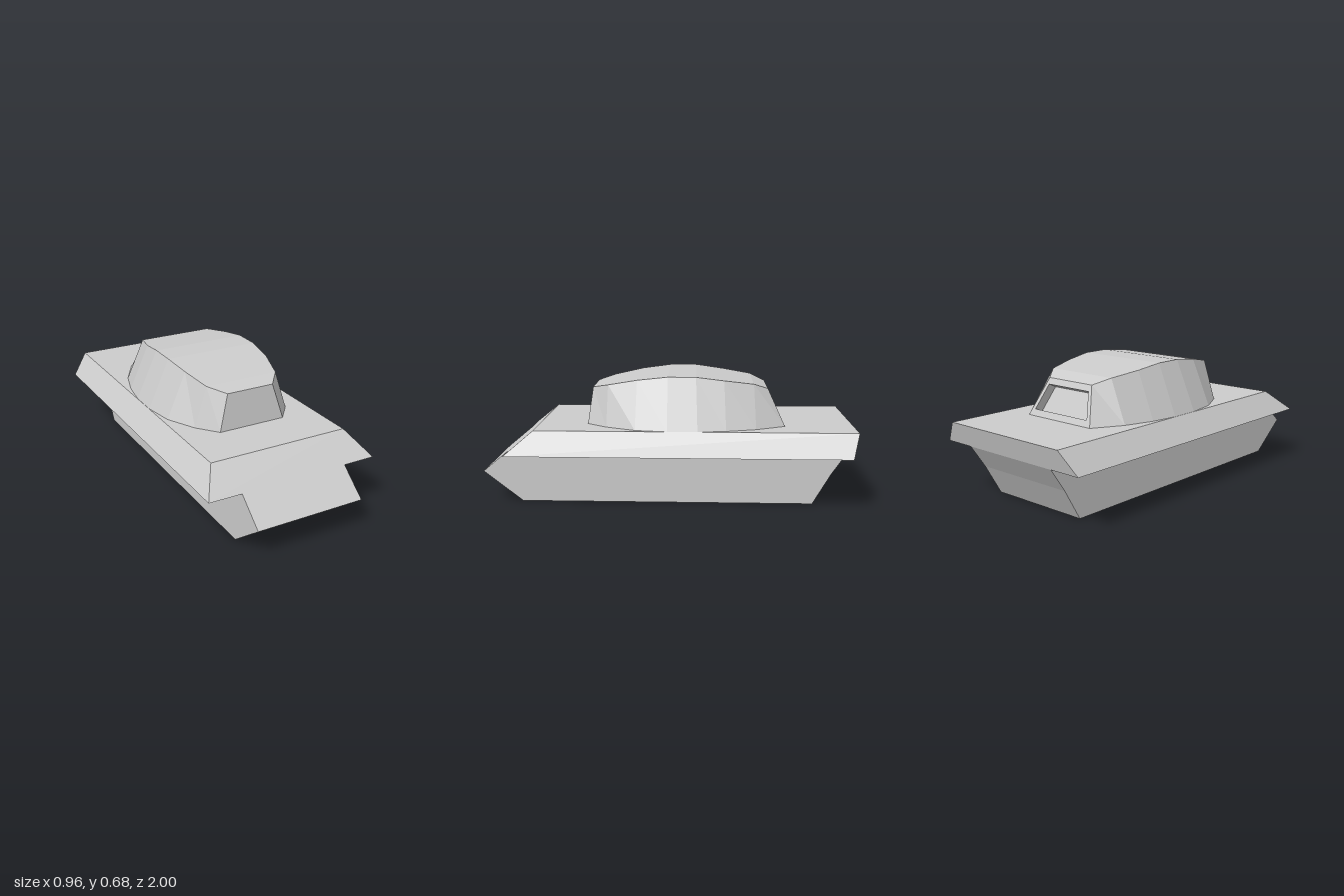
import * as THREE from 'three';

const grey = () => new THREE.MeshStandardMaterial({ color: 0xcccccc, flatShading: true });

// Flat-shaded mesh from a list of quads, corners counter-clockwise from outside
function quadMesh(name, quads) {
  const pos = quads.flatMap(([a, b, c, d]) => [a, b, c, a, c, d].flat());
  const geo = new THREE.BufferGeometry();
  geo.setAttribute('position', new THREE.Float32BufferAttribute(pos, 3));
  geo.computeVertexNormals();
  const mesh = new THREE.Mesh(geo, grey());
  mesh.name = name;
  return mesh;
}

// Quads joining two rings of points; a closed ring wraps round
function band(a, b, closed = true) {
  const quads = [];
  const n = a.length;
  for (let k = 0; k < (closed ? n : n - 1); k++) {
    const m = (k + 1) % n;
    quads.push([a[k], a[m], b[m], b[k]]);
  }
  return quads;
}

// Lower hull: side profile (z, y) extruded across the width
function lowerHull() {
  const profile = [[0.79, 0], [1, 0.165], [0.85, 0.29], [-0.96, 0.29], [-0.875, 0.165], [-0.78, 0]];
  const shape = new THREE.Shape(profile.map(([z, y]) => new THREE.Vector2(z, y)));
  const geo = new THREE.ExtrudeGeometry(shape, { depth: 0.6, bevelEnabled: false });
  geo.rotateY(-Math.PI / 2).translate(0.3, 0, 0);
  const mesh = new THREE.Mesh(geo, grey());
  mesh.name = 'lowerHull';
  return mesh;
}

// Upper hull: wide deck with sloping sides overhanging the lower hull
function upperHull() {
  const ring = (x, y, front, back) => [[-x, y, front], [x, y, front], [x, y, back], [-x, y, back]];
  const bottom = ring(0.48, 0.29, 0.85, -0.96);
  const top = ring(0.39, 0.41, 0.705, -1);
  return quadMesh('upperHull', [...band(bottom, top), top, [...bottom].reverse()]);
}

// Turret: cross-sections from front to back, with a recessed rear hatch
function turret() {
  const group = new THREE.Group();
  group.name = 'turret';
  // base x, base z, roof x, roof y, roof z
  const sections = [
    [0.19, 0.44, 0.135, 0.605, 0.415],
    [0.28, 0.33, 0.21, 0.628, 0.325],
    [0.36, 0.17, 0.25, 0.66, 0.165],
    [0.388, 0, 0.268, 0.68, 0],
    [0.388, -0.16, 0.268, 0.68, -0.15],
    [0.365, -0.31, 0.255, 0.66, -0.3],
    [0.315, -0.47, 0.215, 0.637, -0.46],
    [0.225, -0.63, 0.155, 0.605, -0.54],
  ].map(([bx, bz, rx, ry, rz]) => [[bx, 0.41, bz], [rx, ry, rz], [-rx, ry, rz], [-bx, 0.41, bz]]);

  const shell = [];
  for (let i = 0; i < sections.length - 1; i++) shell.push(...band(sections[i + 1], sections[i], false));
  const [fr, frTop, flTop, fl] = sections[0];
  shell.push([fl, fr, frTop, flTop]);

  // Rear frame around the hatch opening
  const [br, brTop, blTop, bl] = sections[sections.length - 1];
  const frame = [br, bl, blTop, brTop];
  const opening = [[0.19, 0.443, -0.615], [-0.19, 0.443, -0.615], [-0.145, 0.573, -0.555], [0.145, 0.573, -0.555]];
  const deep = opening.map(([x, y, z]) => [x, y - 0.021, z + 0.045]);
  shell.push(...band(frame, opening));

  group.add(quadMesh('turretShell', shell));
  group.add(quadMesh('rearHatchRecess', [...band(opening, deep), deep]));
  return group;
}

export function createModel() {
  const model = new THREE.Group();
  model.name = 'armouredVehicle';
  model.add(lowerHull(), upperHull(), turret());
  return model;
}
